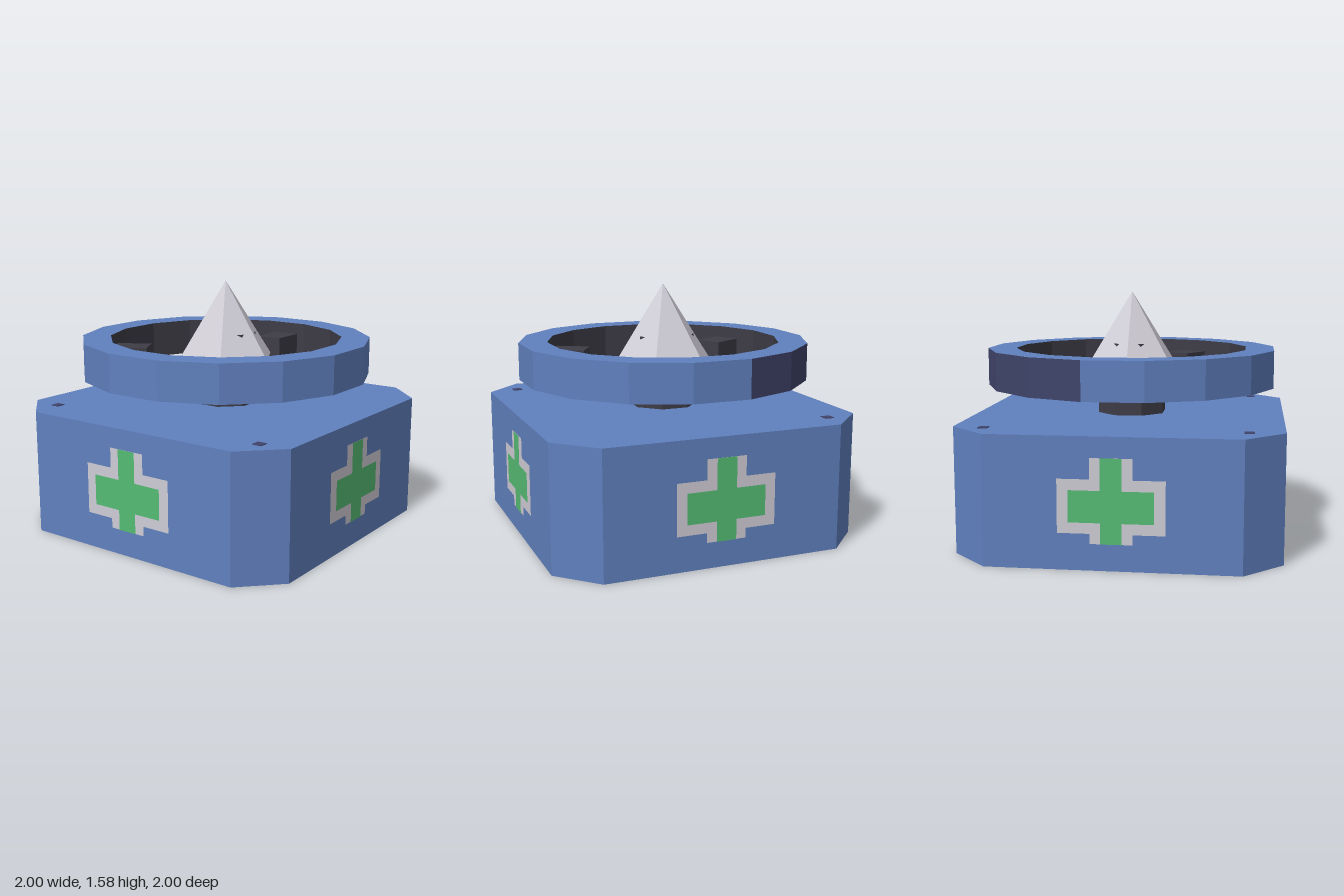
import * as THREE from 'three';

const paint = (name, color) =>
  new THREE.MeshStandardMaterial({ name, color, flatShading: true, side: THREE.DoubleSide });

export function createModel() {
  const blue = paint('blue', 0x6080be);
  const navy = paint('navy', 0x40446a);
  const dark = paint('charcoal', 0x3e3c46);
  const pale = paint('pale grey', 0xcfccd5);
  const green = paint('green', 0x55bb74);

  const model = new THREE.Group();
  const add = (name, geometry, material, parent = model) => {
    const mesh = new THREE.Mesh(geometry, material);
    mesh.name = name;
    parent.add(mesh);
    return mesh;
  };
  const shapeOf = (points) => new THREE.Shape(points.map(([x, y]) => new THREE.Vector2(x, y)));

  // Base: open-bottomed sheet box with cut corners
  const H = 0.79, W = 0.994, C = 0.757;
  const outline = [[C, W], [W, C], [W, -C], [C, -W], [-C, -W], [-W, -C], [-W, C], [-C, W]];
  add('baseLid', new THREE.ShapeGeometry(shapeOf(outline)).rotateX(-Math.PI / 2).translate(0, H, 0), blue);
  outline.forEach(([x, z], i) => {
    const [x2, z2] = outline[(i + 1) % 8];
    const wall = add('baseWall', new THREE.PlaneGeometry(Math.hypot(x2 - x, z2 - z), H), blue);
    wall.position.set((x + x2) / 2, H / 2, (z + z2) / 2);
    wall.rotation.y = Math.atan2(x + x2, z + z2);
  });

  // Cross badges, outside and inside each main wall
  const cross = (armX, armY, barX, bar0, bar1, y0, y1) => new THREE.ShapeGeometry(shapeOf([
    [-armX, y0], [armX, y0], [armX, bar0], [barX, bar0], [barX, bar1], [armX, bar1],
    [armX, y1], [-armX, y1], [-armX, bar1], [-barX, bar1], [-barX, bar0], [-armX, bar0]]));
  const border = cross(0.125, 0, 0.315, 0.22, 0.54, 0.16, 0.665);
  const fill = cross(0.063, 0, 0.25, 0.285, 0.475, 0.16, 0.665);
  for (let i = 0; i < 4; i++) {
    const badge = new THREE.Group();
    badge.name = 'crossBadge';
    badge.rotation.y = i * Math.PI / 2;
    for (const s of [1, -1]) {
      add('crossBorder', border, pale, badge).position.z = W + s * 0.003;
      add('crossFill', fill, green, badge).position.z = W + s * 0.006;
    }
    model.add(badge);
  }

  // Small marks on three lid corners
  for (const [x, z] of [[-0.78, -0.78], [0.8, -0.78], [-0.78, 0.8]]) {
    add('lidMark', new THREE.BoxGeometry(0.06, 0.008, 0.06), navy).position.set(x, H, z);
  }

  // Sixteen-sided floating ring with three darker panels
  const R = 0.942, r = 0.758, y0 = 0.975, y1 = 1.215, step = Math.PI / 8;
  const band = (name, radius, sides, start, material) => {
    add(name, new THREE.CylinderGeometry(radius, radius, y1 - y0, sides, 1, true, start, sides * step), material)
      .position.y = (y0 + y1) / 2;
  };
  band('ringOuterPanels', R, 13, 7.5 * step, blue);
  band('ringDarkPanels', R, 3, 4.5 * step, navy);
  band('ringInnerWall', r, 16, step / 2, dark);
  const annulus = () => new THREE.RingGeometry(r, R, 16, 1, step / 2);
  add('ringTop', annulus().rotateX(-Math.PI / 2), blue).position.y = y1;
  add('ringUnderside', annulus().rotateX(Math.PI / 2), navy).position.y = y0;

  // Three blocks on the inside of the ring
  for (let i = 0; i < 3; i++) {
    const block = add('ringBlock', new THREE.BoxGeometry(0.23, 0.15, 0.18).translate(0.627, 1.065, 0), dark);
    block.rotation.y = i * Math.PI * 2 / 3;
  }

  // Eight-sided column, tapering inside the crystal
  const column = [[0.227, H], [0.227, 1.0], [0.2, 1.25], [0, 1.25]].map(([x, y]) => new THREE.Vector2(x, y));
  add('column', new THREE.LatheGeometry(column, 8, Math.PI / 8), dark);

  // Six-sided crystal, its lower tip passing through the lid
  const crystal = [[0, 0.63], [0.33, 1.083], [0, 1.58]].map(([x, y]) => new THREE.Vector2(x, y));
  add('crystal', new THREE.LatheGeometry(crystal, 6), pale);

  return model;
}
